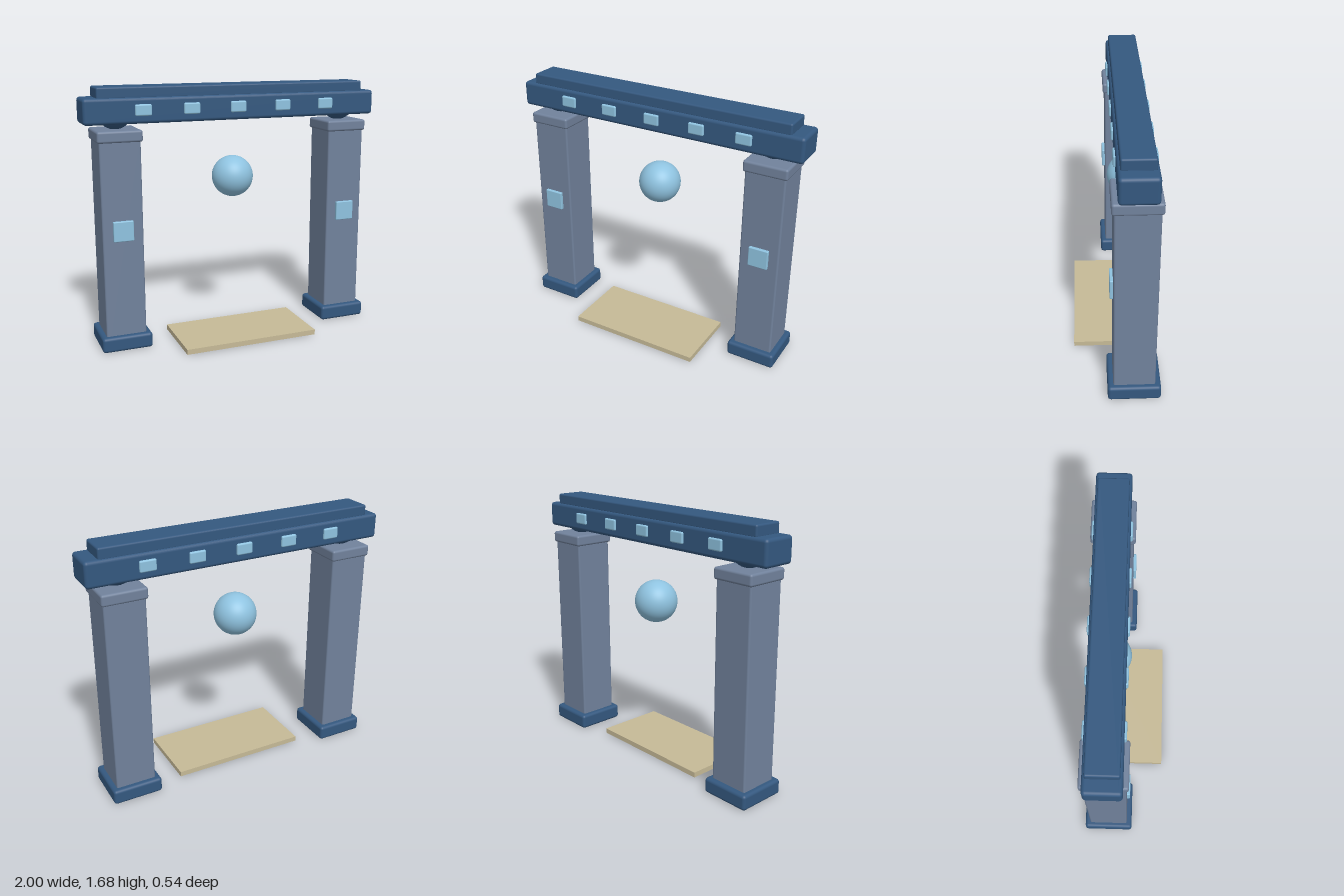
import * as THREE from 'three';
import { RoundedBoxGeometry } from 'three/addons/geometries/RoundedBoxGeometry.js';

const GATE_Z = -0.105;

const mat = (color) => new THREE.MeshStandardMaterial({ color });
const darkBlue = mat(0x34587f);
const slate = mat(0x71829c);
const paleBlue = mat(0x8fc3e0);
const sand = mat(0xc6ba97);

function add(parent, name, geometry, material, x, y, z) {
  const mesh = new THREE.Mesh(geometry, material);
  mesh.name = name;
  mesh.position.set(x, y, z);
  parent.add(mesh);
  return mesh;
}

// Box with softened edges, placed by its bottom height
function block(parent, name, [w, h, d], radius, material, x, bottom, z = 0) {
  return add(parent, name, new RoundedBoxGeometry(w, h, d, 3, radius), material, x, bottom + h / 2, z);
}

function createPillar(name, x) {
  const pillar = new THREE.Group();
  pillar.name = name;
  pillar.position.x = x;
  block(pillar, 'base', [0.328, 0.1, 0.33], 0.02, darkBlue, 0, 0);
  block(pillar, 'shaft', [0.262, 1.365, 0.26], 0.012, slate, 0, 0.005);
  block(pillar, 'capital', [0.286, 0.073, 0.287], 0.015, slate, 0, 1.35);
  // Ball bearing between the capital and the beam
  add(pillar, 'bearingBall', new THREE.SphereGeometry(0.112, 32, 20), darkBlue, 0, 1.53, 0);
  // Inlaid plate on the front of the shaft only
  block(pillar, 'plate', [0.13, 0.13, 0.04], 0.006, paleBlue, 0, 0.728, 0.13);
  return pillar;
}

export function createModel() {
  const model = new THREE.Group();
  const gate = new THREE.Group();
  gate.name = 'gate';
  gate.position.z = GATE_Z;
  model.add(gate);

  // Pillars
  gate.add(createPillar('leftPillar', 0.785), createPillar('rightPillar', -0.785));

  // Beam and its top rail
  block(gate, 'beam', [2, 0.163, 0.224], 0.022, darkBlue, 0, 1.457);
  block(gate, 'topRail', [1.826, 0.075, 0.194], 0.012, darkBlue, 0, 1.61);

  // Studs along both faces of the beam
  for (let i = -2; i <= 2; i++) {
    for (const side of [1, -1]) {
      block(gate, 'stud', [0.106, 0.072, 0.03], 0.01, paleBlue, i * 0.314, 1.506, side * 0.11);
    }
  }

  // Floating orb
  add(gate, 'orb', new THREE.SphereGeometry(0.138, 48, 32), paleBlue, 0, 1.07, 0);

  // Doorstep slab
  add(model, 'doorstep', new THREE.BoxGeometry(0.91, 0.034, 0.46), sand, 0, 0.02, 0.04);
  return model;
}
